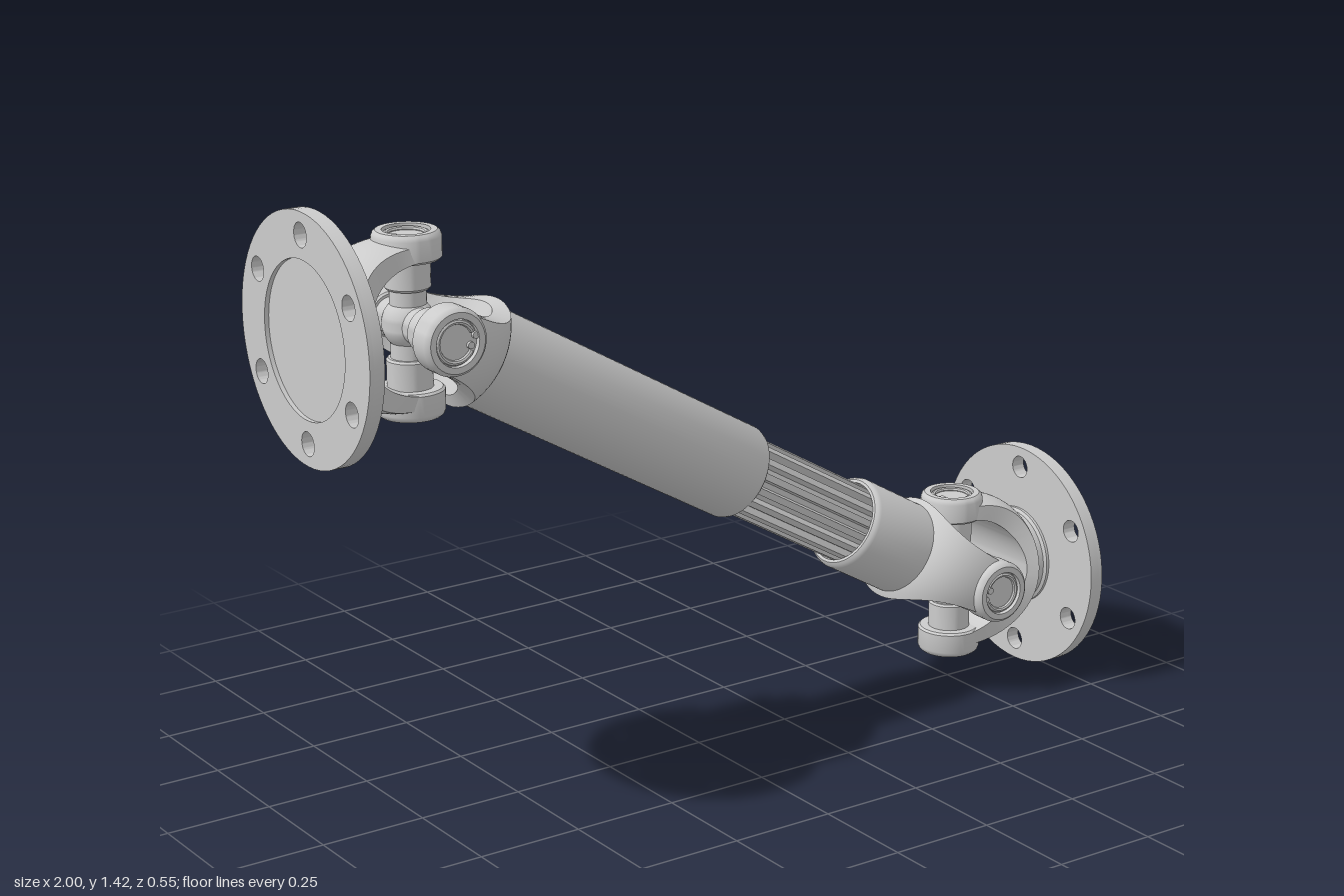
import * as THREE from 'three';
import { toCreasedNormals } from 'three/addons/utils/BufferGeometryUtils.js';

const mat = new THREE.MeshStandardMaterial({ color: 0xcccccc });
const TILT = Math.PI / 6;
const SPAN = 1.5 / Math.cos(TILT); // distance between joint centres
const CENTRE_Y = 0.275;            // height of the lower joint

function mesh(name, geometry, parent) {
  const m = new THREE.Mesh(toCreasedNormals(geometry, 0.6), mat);
  m.name = name;
  parent.add(m);
  return m;
}

// Turned part from [radius, height] pairs, along y
const turned = (pts, seg = 48) =>
  new THREE.LatheGeometry(pts.map(([r, h]) => new THREE.Vector2(r, h)), seg);

// Turned part along x
const turnedX = (pts, seg) => turned(pts, seg).rotateZ(-Math.PI / 2);

function circlePath(x, y, r) {
  return new THREE.Path().absarc(x, y, r, 0, Math.PI * 2, true);
}

// Flange layer with six bolt holes, thickness along x
function flangeLayer(x, depth, recess) {
  const shape = new THREE.Shape().absarc(0, 0, 0.275, 0, Math.PI * 2, false);
  for (let i = 0; i < 6; i++) {
    const a = Math.PI / 6 + i * Math.PI / 3;
    shape.holes.push(circlePath(0.225 * Math.cos(a), 0.225 * Math.sin(a), 0.027));
  }
  if (recess) shape.holes.push(circlePath(0, 0, recess));
  return new THREE.ExtrudeGeometry(shape, { depth, bevelEnabled: false, curveSegments: 36 })
    .rotateY(Math.PI / 2).translate(x, 0, 0);
}

// U-shaped fork: bowl outside, rounded opening inside, sides flaring to the hub (+x)
function forkGeometry() {
  const steps = 48, across = 12, ring = 2 * (across + 1);
  const pos = [], idx = [];
  const a = 0.21, b = 0.19, p = 2.6;
  for (let i = 0; i <= steps; i++) {
    const t = Math.PI * i / steps, su = Math.sin(t), cv = Math.cos(t);
    const half = 0.072 + 0.078 * su ** 4;
    for (let j = 0; j <= across; j++) {
      const u = a * su, v = b * cv, w = half * (2 * j / across - 1);
      const k = ((u / a) ** p + (Math.hypot(v, w) / b) ** p) ** (-1 / p);
      pos.push(u * k, v * k, w * k);
    }
    for (let j = across; j >= 0; j--) {
      const inner = half - 0.042 * su ** 4;
      pos.push(0.155 * su, 0.145 * cv, inner * (2 * j / across - 1));
    }
  }
  for (let i = 0; i < steps; i++) {
    for (let j = 0; j < ring; j++) {
      const n = (j + 1) % ring, p0 = i * ring + j, p1 = i * ring + n;
      idx.push(p0, p1, p0 + ring, p1, p1 + ring, p0 + ring);
    }
  }
  const g = new THREE.BufferGeometry();
  g.setAttribute('position', new THREE.Float32BufferAttribute(pos, 3));
  g.setIndex(idx);
  return g;
}

// Fork with two bearing ears, their caps and retaining clips
function makeYoke(name) {
  const yoke = new THREE.Group();
  yoke.name = name;
  mesh('fork', forkGeometry(), yoke);
  for (const turn of [0, Math.PI]) {
    const ear = new THREE.Group();
    ear.name = 'bearingEar';
    ear.rotation.z = turn;
    mesh('earBoss', turned([[0, 0.14], [0.07, 0.14], [0.075, 0.145], [0.075, 0.19],
      [0.072, 0.198], [0.066, 0.203], [0.052, 0.203], [0.052, 0.188]]), ear);
    mesh('bearingCap', turned([[0.053, 0.191], [0, 0.191]]), ear);
    mesh('retainingClip', new THREE.TorusGeometry(0.044, 0.006, 8, 32, Math.PI * 1.7)
      .rotateX(Math.PI / 2).translate(0, 0.193, 0), ear);
    for (const z of [-1, 1]) {
      mesh('clipEyelet', new THREE.CylinderGeometry(0.008, 0.008, 0.008, 12)
        .translate(0.036, 0.194, z * 0.012 - 0.02), ear);
    }
    yoke.add(ear);
  }
  return yoke;
}

// One universal joint: the flange lies on -x, the shaft leaves at a downward tilt
function makeJoint(name) {
  const joint = new THREE.Group();
  joint.name = name;

  mesh('flangeRim', flangeLayer(-0.25, 0.01, 0.173), joint);
  mesh('flangePlate', flangeLayer(-0.24, 0.025), joint);
  mesh('flangeNeck', turnedX([[0.12, -0.216], [0.12, -0.208], [0.113, -0.203],
    [0.113, -0.17], [0, -0.165]]), joint);

  const flangeYoke = makeYoke('flangeYoke');
  flangeYoke.rotation.y = Math.PI;
  joint.add(flangeYoke);

  const tilted = new THREE.Group();
  tilted.name = 'shaftSide';
  tilted.rotation.z = -TILT;
  const shaftYoke = makeYoke('shaftYoke');
  shaftYoke.rotation.x = Math.PI / 2;
  tilted.add(shaftYoke);
  joint.add(tilted);

  // Cross with four stepped trunnions
  const cross = new THREE.Group();
  cross.name = 'cross';
  mesh('crossCentre', new THREE.SphereGeometry(0.058, 32, 20), cross);
  for (let i = 0; i < 4; i++) {
    mesh('trunnion', turned([[0.04, 0], [0.04, 0.075], [0.046, 0.075], [0.05, 0.08],
      [0.05, 0.15]], 32).rotateX(i * Math.PI / 2), cross);
  }
  joint.add(cross);
  return joint;
}

// Splined bar along x
function splineGeometry(x0, length) {
  const teeth = 16, pts = [];
  for (let i = 0; i < teeth; i++) {
    for (const [f, r] of [[0, 0.078], [0.42, 0.078], [0.5, 0.095], [0.92, 0.095]]) {
      const a = (i + f - 0.21) / teeth * Math.PI * 2;
      pts.push(new THREE.Vector2(r * Math.cos(a), r * Math.sin(a)));
    }
  }
  return new THREE.ExtrudeGeometry(new THREE.Shape(pts), { depth: length, bevelEnabled: false })
    .rotateY(Math.PI / 2).translate(x0, 0, 0);
}

export function createModel() {
  const model = new THREE.Group();
  model.name = 'driveShaft';

  const upper = makeJoint('upperJoint');
  upper.position.set(-0.75, CENTRE_Y + SPAN * Math.sin(TILT), 0);
  const lower = makeJoint('lowerJoint');
  lower.position.set(0.75, CENTRE_Y, 0);
  lower.rotation.z = Math.PI;
  model.add(upper, lower);

  // Telescoping shaft between the joints
  const shaft = new THREE.Group();
  shaft.name = 'shaft';
  shaft.position.copy(upper.position);
  shaft.rotation.z = -TILT;
  mesh('outerTube', turnedX([[0, 0.162], [0.113, 0.17], [0.113, 0.975], [0.11, 0.984],
    [0.104, 0.99], [0.097, 0.99], [0.097, 0.95], [0, 0.95]], 64), shaft);
  mesh('splinedBar', splineGeometry(0.94, 0.44), shaft);
  mesh('sleeve', turnedX([[0, 1.38], [0.097, 1.38], [0.097, 1.347], [0.104, 1.347],
    [0.11, 1.353], [0.113, 1.362], [0.113, SPAN - 0.17], [0, SPAN - 0.162]], 64), shaft);
  model.add(shaft);
  return model;
}
